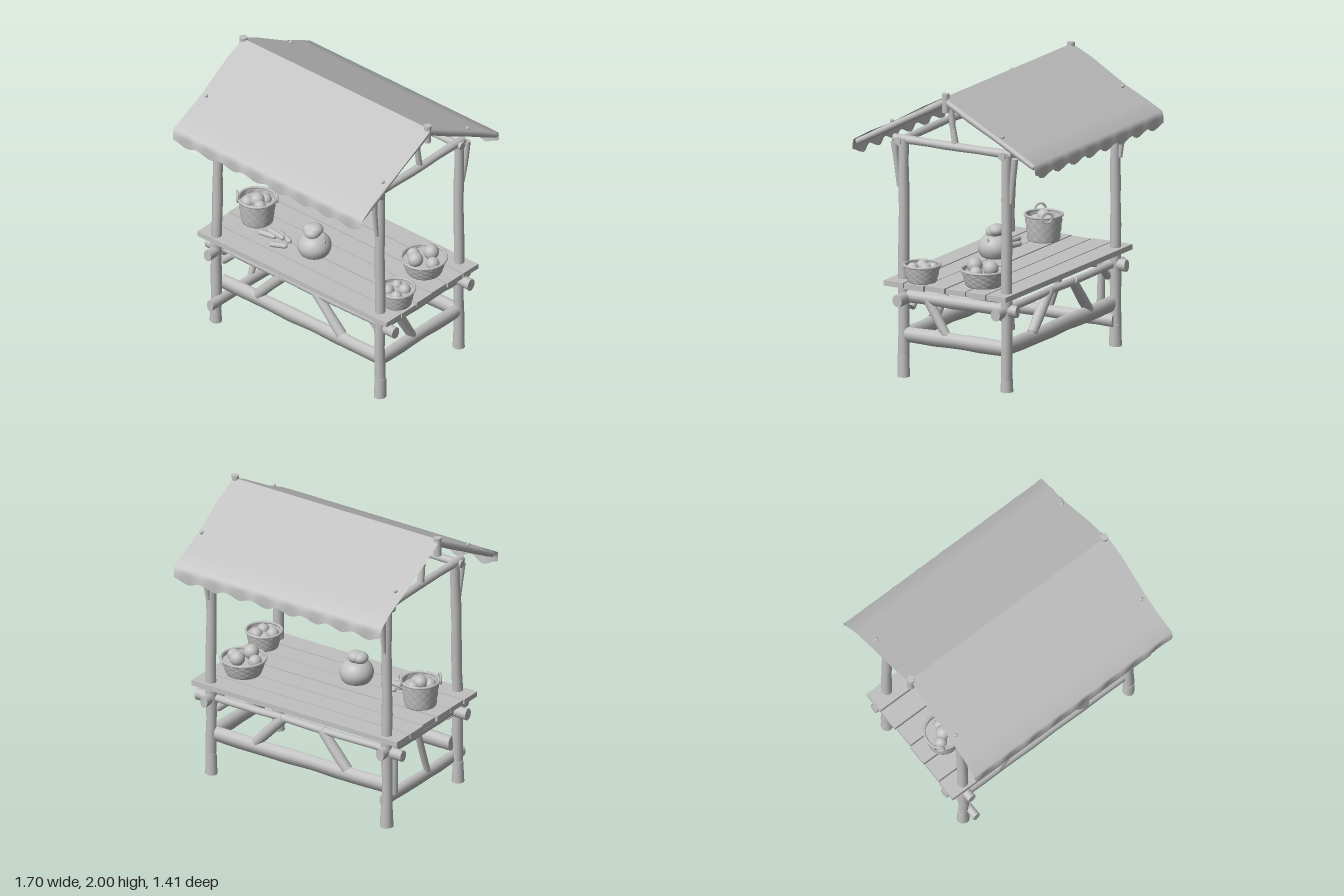
import * as THREE from 'three';

const grey = new THREE.MeshStandardMaterial({ color: 0xc0c0c0 });
grey.name = 'plainGrey';
grey.side = THREE.DoubleSide;

const V = (x, y, z) => new THREE.Vector3(x, y, z);

export function createModel() {
  let seed = 7;
  const rand = () => (seed = (seed * 16807) % 2147483647) / 2147483647;

  const root = new THREE.Group();
  root.name = 'marketStall';

  const add = (name, geometry, x = 0, y = 0, z = 0, parent = root) => {
    const mesh = new THREE.Mesh(geometry, grey);
    mesh.name = name;
    mesh.position.set(x, y, z);
    parent.add(mesh);
    return mesh;
  };

  // Rough round timber between two points; flat scales one axis of its cross-section
  const log = (name, a, b, r0, r1 = r0, flat = 1) => {
    const len = a.distanceTo(b);
    const g = new THREE.CylinderGeometry(r1, r0, len, 12, 7);
    const p = g.attributes.position;
    const ph = rand() * 6;
    for (let i = 0; i < p.count; i++) {
      const x = p.getX(i), y = p.getY(i), z = p.getZ(i);
      const k = 1 + 0.05 * Math.sin(y * 17 + ph) + 0.04 * Math.sin(x * 60 + z * 40 + ph);
      p.setXYZ(i, x * k + 0.003 * Math.sin(y * 9 + ph), y, z * k * flat);
    }
    const m = add(name, g);
    m.position.copy(a).add(b).multiplyScalar(0.5);
    m.quaternion.setFromUnitVectors(V(0, 1, 0), b.clone().sub(a).normalize());
  };

  // Corner posts with thick feet, brackets and top braces
  for (const sx of [-1, 1]) {
    for (const sz of [-1, 1]) {
      const x = sx * 0.705;
      const zTop = sz > 0 ? 0.375 : -0.415;
      const zFoot = sz > 0 ? (sx > 0 ? 0.375 : 0.41) : -0.415;
      log('cornerPost', V(x, 0.5, zFoot), V(x, 1.63, zTop), 0.037, 0.033);
      log('cornerLeg', V(x, 0.08, zFoot), V(x, 0.62, zFoot), 0.036, 0.037);
      log('postFoot', V(x, 0, zFoot), V(x, 0.15, zFoot), 0.043, 0.037);
      log('postBrace', V(x, 1.29, zTop + sz * 0.035), V(x + sx * 0.01, 1.6, zTop + sz * 0.07), 0.014, 0.024);
      log('frameBracket', V(x - sx * 0.03, 0.47, zFoot - sz * 0.04), V(x - sx * 0.12, 0.55, zFoot - sz * 0.04), 0.026);
    }
  }

  // Front and back frame: rails and slanted struts set behind the posts
  for (const z of [0.355, -0.4]) {
    log('upperRail', V(-0.82, 0.555, z), V(0.82, 0.555, z), 0.026);
    for (const sx of [-1, 1]) log('railEnd', V(sx * 0.67, 0.545, z), V(sx * 0.825, 0.545, z), 0.041, 0.041, 0.85);
    log('lowerRail', V(-0.69, 0.29, z), V(0.69, 0.29, z), 0.055, 0.055, 0.6);
    log('frontStrut', V(-0.38, 0.32, z), V(-0.17, 0.56, z), 0.036);
    log('frontStrut', V(0.35, 0.32, z), V(0.13, 0.56, z), 0.036);
  }

  // Side frames and gable struts
  for (const sx of [-1, 1]) {
    const x = sx * 0.705;
    log('sideRail', V(x, 0.555, sx > 0 ? 0.37 : 0.5), V(x, 0.555, -0.5), 0.031, 0.03, 1.4);
    log('topTie', V(x, 1.62, 0.45), V(x, 1.62, -0.46), 0.028);
    log('gableStrutLower', V(x, 1.64, -0.02), V(x, 1.76, 0.0), 0.024, 0.02);
    log('gableStrutUpper', V(x, 1.75, 0.0), V(x, 1.93, 0.02), 0.02, 0.022);
  }
  log('leftLowRail', V(0.7, 0.29, 0.37), V(0.7, 0.29, -0.41), 0.034, 0.034, 1.6);
  log('rightLowRail', V(-0.675, 0.175, 0.51), V(-0.675, 0.175, -0.42), 0.028, 0.028, 1.6);
  log('leftStrut', V(0.7, 0.32, 0.05), V(0.7, 0.55, 0.19), 0.032);
  log('rightStrut', V(-0.69, 0.2, 0.08), V(-0.69, 0.55, -0.04), 0.022);
  log('rightStrut', V(-0.69, 0.2, -0.31), V(-0.69, 0.55, -0.31), 0.026);

  // Table planks
  const count = 6, pitch = 0.94 / count;
  for (let i = 0; i < count; i++) {
    add('tablePlank', new THREE.BoxGeometry(1.66 - (i ? rand() * 0.03 : 0), 0.036, pitch - 0.01),
      (rand() - 0.5) * 0.01, 0.655 + (rand() - 0.5) * 0.004, 0.46 - pitch * (i + 0.5));
  }

  // Roof timbers
  log('ridgePole', V(-0.83, 1.935, 0), V(0.8, 1.94, 0), 0.026);
  log('ridgeEnd', V(-0.828, 1.86, 0), V(-0.828, 1.99, 0), 0.025);
  log('ridgeEnd', V(0.795, 1.87, 0), V(0.795, 2.0, 0), 0.025);
  for (const sz of [-1, 1]) {
    log('wallPlate', V(-0.75, 1.61, sz * 0.4), V(0.75, 1.61, sz * 0.4), 0.026);
    log('eavePole', V(-0.8, 1.605, sz * 0.63), V(0.8, 1.605, sz * 0.63), 0.016);
    for (const x of [-0.795, 0.79]) {
      log('rafter', V(x, 1.947, 0), V(x, 1.583, sz * 0.68), 0.025, 0.021);
      add('roofPeg', new THREE.SphereGeometry(0.013, 10, 8), x * 0.98, 1.755, sz * 0.425);
    }
  }

  // Canvas roof: upper and lower skins of a sloping sheet with a scalloped hanging edge
  const profile = [[0, 1.977], [0.15, 1.897], [0.42, 1.752], [0.57, 1.67], [0.69, 1.605], [0.703, 1.565], [0.707, 1.512]];
  const canvasSkin = (back, inset) => {
    const rows = profile.length - 1, cols = 144;
    const g = new THREE.PlaneGeometry(1, 1, cols, rows);
    const p = g.attributes.position;
    for (let i = 0; i < p.count; i++) {
      const r = Math.round((0.5 - p.getY(i)) * rows), u = p.getX(i) * 2;
      const hanging = r >= rows - 1;
      const wave = Math.cos((u + 1) * Math.PI * 8);
      let [z, y] = profile[r];
      if (hanging) z += (r === rows ? 0.008 : 0.004) * (wave - 1);
      if (r === rows) y += 0.018 * wave;
      else y -= inset;
      if (hanging) z -= inset;
      if (r > 0 && r < 4) y += 0.006 * Math.sin(r * 2.4) * u ** 4;
      p.setXYZ(i, u * 0.823 + (back ? 0.018 : -0.005) + 0.006 * u * Math.sin(r * 1.9), y, z);
    }
    g.computeVertexNormals();
    return g;
  };
  for (const back of [false, true]) {
    for (const inset of [0, 0.012]) {
      const sheet = add((back ? 'back' : 'front') + (inset ? 'CanvasLining' : 'Canvas'), canvasSkin(back, inset));
      if (back) sheet.rotation.y = Math.PI;
    }
  }

  // Woven basket: rippled wall, rolled rim and inner floor
  const basket = (name, x, z, rBottom, rTop, h) => {
    const group = new THREE.Group();
    group.name = name;
    group.position.set(x, 0.672, z);
    root.add(group);
    const pts = [new THREE.Vector2(0.001, 0), new THREE.Vector2(rBottom * 0.95, 0)];
    const n = 18;
    for (let i = 0; i <= n; i++) pts.push(new THREE.Vector2(rBottom + (rTop - rBottom) * (i / n) ** 0.8, h * i / n));
    const wall = new THREE.LatheGeometry(pts, 48);
    const p = wall.attributes.position;
    for (let i = 0; i < p.count; i++) {
      const px = p.getX(i), py = p.getY(i), pz = p.getZ(i);
      const k = 1 + 0.02 * Math.cos(Math.atan2(pz, px) * 12) * Math.sin(py / h * Math.PI * 6);
      p.setXYZ(i, px * k, py, pz * k);
    }
    wall.computeVertexNormals();
    add('wovenWall', wall, 0, 0, 0, group);
    add('basketRim', new THREE.TorusGeometry(rTop, 0.009, 8, 36), 0, h, 0, group).rotation.x = Math.PI / 2;
    add('basketFilling', new THREE.CircleGeometry(rTop * 0.95, 32), 0, h * 0.78, 0, group).rotation.x = -Math.PI / 2;
    return group;
  };
  const fruit = (group, list) => list.forEach(([x, y, z, r]) =>
    add('fruit', new THREE.SphereGeometry(r, 16, 12), x, y, z, group));

  fruit(basket('frontFruitBasket', 0.72, 0.225, 0.095, 0.12, 0.115),
    [[-0.05, 0.09, 0.03, 0.042], [0.04, 0.09, 0.05, 0.04], [0.03, 0.095, -0.045, 0.042], [-0.05, 0.09, -0.06, 0.035]]);
  fruit(basket('backFruitBasket', 0.605, -0.18, 0.115, 0.15, 0.11),
    [[-0.01, 0.125, 0.075, 0.052], [0.01, 0.125, -0.06, 0.052], [-0.085, 0.1, 0.01, 0.045],
      [0.085, 0.1, 0.01, 0.045]]);

  // Tall basket with two loop handles
  const tall = basket('tallBasket', -0.625, 0.09, 0.105, 0.125, 0.175);
  fruit(tall, [[0, 0.16, 0, 0.05], [-0.05, 0.14, 0.04, 0.042], [0.05, 0.14, 0.03, 0.042], [0.02, 0.14, -0.06, 0.042]]);
  for (const s of [-1, 1]) {
    add('basketHandle', new THREE.TorusGeometry(0.035, 0.008, 8, 20), s * 0.1, 0.182, -s * 0.085, tall)
      .rotation.y = Math.PI * 0.75;
  }

  // Pot-bellied sack with a torn flap and a lumpy top
  const sackProfile = [[0.001, 0], [0.08, 0], [0.108, 0.035], [0.115, 0.075], [0.1, 0.115], [0.07, 0.145], [0.045, 0.15]];
  add('sackBody', new THREE.LatheGeometry(
    new THREE.SplineCurve(sackProfile.map(a => new THREE.Vector2(...a))).getPoints(24), 28), -0.08, 0.672, 0.14);
  for (const [x, y, z, r] of [[-0.11, 0.85, 0.14, 0.055], [-0.08, 0.855, 0.13, 0.055], [-0.085, 0.84, 0.155, 0.055]]) {
    add('sackLump', new THREE.SphereGeometry(r, 16, 12), x, y, z).scale.y = 0.75;
  }
  add('sackFlap', new THREE.ConeGeometry(0.045, 0.1, 12), 0.0, 0.775, 0.14).rotation.z = -0.35;

  // Long vegetables lying on the table
  for (const [x, y, z, turn, len] of [[-0.44, 0.692, 0.2, 0.2, 0.1], [-0.33, 0.694, 0.15, -0.3, 0.11],
    [-0.3, 0.694, 0.25, 0.5, 0.09], [-0.38, 0.712, 0.18, -0.1, 0.12]]) {
    add('longVegetable', new THREE.CapsuleGeometry(0.019, len, 6, 12), x, y, z).rotation.set(0, turn, Math.PI / 2);
  }

  return root;
}
